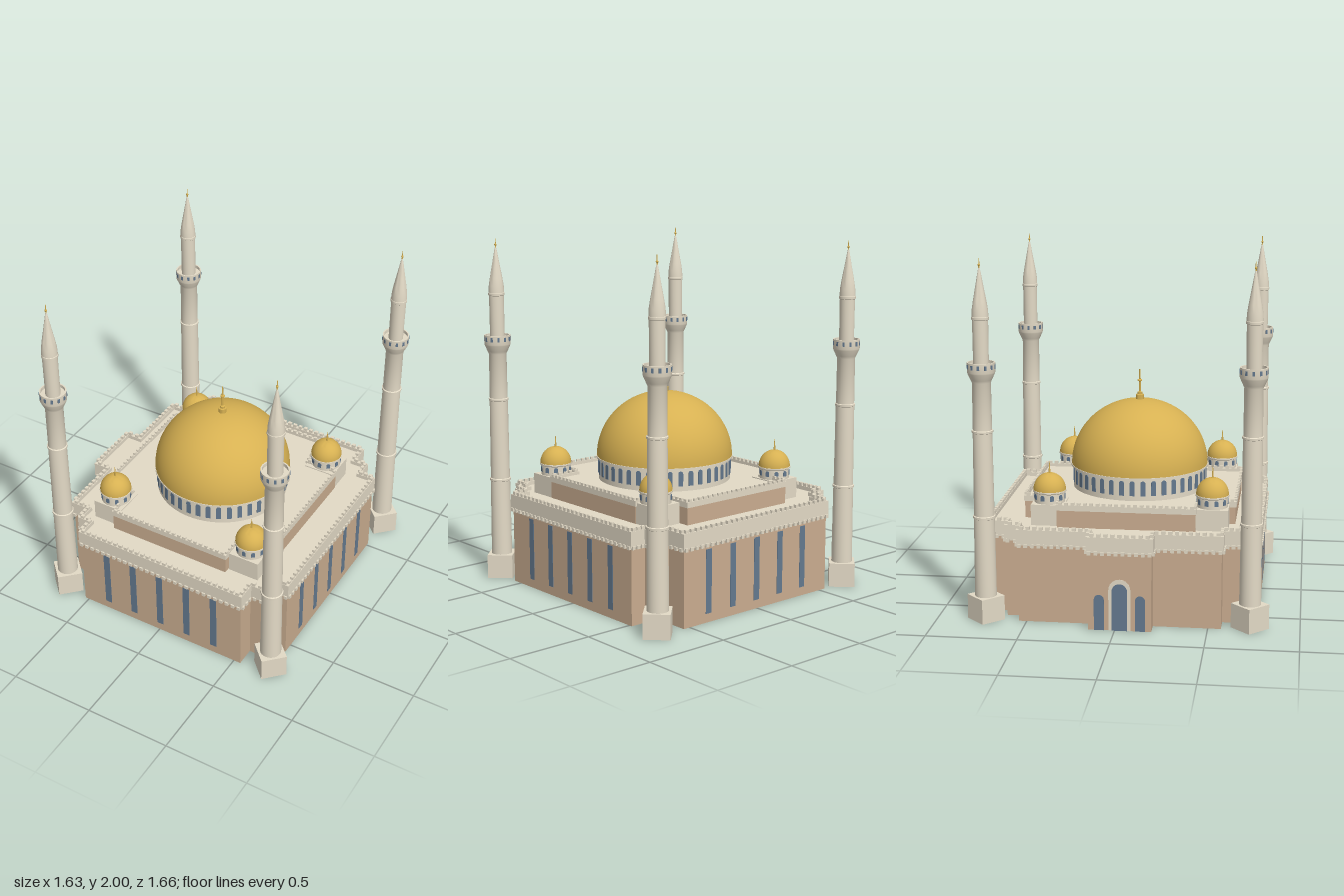
import * as THREE from 'three';
import { mergeGeometries, toCreasedNormals } from 'three/addons/utils/BufferGeometryUtils.js';

const mat = (name, color) => Object.assign(new THREE.MeshStandardMaterial({ color }), { name });
const V = (x, z) => new THREE.Vector2(x, z);

export function createModel() {
  const stone = mat('pale stone', 0xe3dac6);
  const brick = mat('tan wall', 0xcaad90);
  const gold = mat('gilded dome', 0xd7b152);
  const glass = mat('blue glass', 0x64798f);

  const model = new THREE.Group();
  const add = (parent, name, geo, material, x = 0, y = 0, z = 0) => {
    const mesh = new THREE.Mesh(geo, material);
    mesh.name = name;
    mesh.position.set(x, y, z);
    parent.add(mesh);
    return mesh;
  };
  const group = (name, x = 0, y = 0, z = 0) => {
    const g = new THREE.Group();
    g.name = name;
    g.position.set(x, y, z);
    model.add(g);
    return g;
  };

  // Plan helpers: outlines are right-angled loops of (x, z) points
  const edgeNormal = (a, b) => V(b.y - a.y, a.x - b.x).normalize();
  const grow = (pts, d) => pts.map((p, i) => {
    const prev = pts[(i + pts.length - 1) % pts.length];
    const next = pts[(i + 1) % pts.length];
    const n = edgeNormal(prev, p).add(edgeNormal(p, next));
    return p.clone().addScaledVector(n, d);
  });
  const flip = (pts) => pts.map((p) => V(p.x, -p.y));
  const slab = (outer, y0, y1, inner) => {
    const shape = new THREE.Shape(flip(outer));
    // The hole runs the other way round so its walls face inward
    if (inner) shape.holes.push(new THREE.Path(flip(inner).reverse()));
    return new THREE.ExtrudeGeometry(shape, { depth: y1 - y0, bevelEnabled: false })
      .rotateX(-Math.PI / 2).translate(0, y0, 0);
  };
  // Row of small blocks along every edge of an outline
  const blocks = (pts, step, w, h, d, y) => {
    const list = [];
    pts.forEach((a, i) => {
      const b = pts[(i + 1) % pts.length];
      const len = a.distanceTo(b);
      const count = Math.max(1, Math.round(len / step));
      const angle = Math.atan2(-(b.y - a.y), b.x - a.x);
      for (let k = 0; k < count; k++) {
        const p = a.clone().lerp(b, (k + 0.5) / count);
        list.push(new THREE.BoxGeometry(w, h, d).rotateY(angle).translate(p.x, y, p.y));
      }
    });
    return mergeGeometries(list);
  };
  const lathe = (profile, sides = 24) => toCreasedNormals(
    new THREE.LatheGeometry(profile.map(([r, y]) => V(r, y)), sides), 0.6);
  const arch = (w, h, d = 0.006) => {
    const s = new THREE.Shape();
    s.moveTo(-w / 2, 0);
    s.lineTo(w / 2, 0);
    s.lineTo(w / 2, h - w / 2);
    s.absarc(0, h - w / 2, w / 2, 0, Math.PI, false);
    return new THREE.ExtrudeGeometry(s, { depth: d, bevelEnabled: false, curveSegments: 6 });
  };
  const ringOf = (make, count, radius, y) => {
    const list = [];
    for (let i = 0; i < count; i++) {
      list.push(make().translate(0, y, radius).rotateY((i / count) * Math.PI * 2));
    }
    return mergeGeometries(list);
  };

  // Main hall: hollow walls with stepped corners and a porch on the -x side
  const hall = [
    V(-0.544, -0.737), V(0.542, -0.737), V(0.542, -0.616), V(0.628, -0.616), V(0.628, -0.52), V(0.722, -0.52),
    V(0.722, 0.562), V(0.625, 0.562), V(0.625, 0.66), V(0.542, 0.66), V(0.542, 0.77), V(-0.524, 0.77),
    V(-0.524, 0.665), V(-0.6, 0.665), V(-0.6, 0.572), V(-0.708, 0.572), V(-0.708, 0.2), V(-0.799, 0.2),
    V(-0.799, -0.145), V(-0.708, -0.145), V(-0.708, -0.543), V(-0.622, -0.543), V(-0.622, -0.624), V(-0.544, -0.624),
  ];
  const base = group('mainHall');
  add(base, 'hallWalls', slab(hall, 0, 0.495, grow(hall, -0.008)), brick);
  add(base, 'hallCeiling', slab(grow(hall, -0.004), 0.478, 0.49), brick);
  add(base, 'hallRoof', slab(grow(hall, -0.004), 0.49, 0.502), stone);
  add(base, 'hallCornice', slab(grow(hall, 0.01), 0.437, 0.5, grow(hall, -0.004)), stone);
  add(base, 'hallParapet', slab(grow(hall, 0.01), 0.5, 0.525, grow(hall, -0.012)), stone);
  add(base, 'hallMerlons', blocks(grow(hall, -0.001), 0.037, 0.022, 0.02, 0.018, 0.533), stone);
  add(base, 'hallDentils', blocks(grow(hall, 0.011), 0.037, 0.02, 0.02, 0.014, 0.436), stone);

  // Tall windows on the front, back and right walls
  for (let i = -2; i <= 2; i++) {
    const pane = () => new THREE.BoxGeometry(0.041, 0.36, 0.006);
    add(base, 'frontWindow', pane(), glass, 0.006 + i * 0.179, 0.23, 0.769);
    add(base, 'backWindow', pane(), glass, 0.006 + i * 0.179, 0.23, -0.736);
    add(base, 'sideWindow', pane().rotateY(Math.PI / 2), glass, 0.721, 0.23, 0.022 + i * 0.181);
  }

  // Porch doorway with three arches
  const porch = group('porchDoorway', -0.799, 0, 0.027);
  porch.rotation.y = -Math.PI / 2;
  add(porch, 'doorSurround', arch(0.12, 0.29, 0.002), stone);
  add(porch, 'middleArch', arch(0.085, 0.265, 0.004), glass);
  for (const s of [-1, 1]) add(porch, 'sideArch', arch(0.055, 0.2, 0.003), glass, s * 0.112, 0, 0);

  // Upper tier: cross-shaped plan
  const tier = [
    V(-0.39, -0.56), V(0.36, -0.56), V(0.36, -0.35), V(0.552, -0.35), V(0.552, 0.417), V(0.36, 0.417),
    V(0.36, 0.627), V(-0.39, 0.627), V(-0.39, 0.417), V(-0.57, 0.417), V(-0.57, -0.35), V(-0.39, -0.35),
  ];
  const upper = group('upperTier');
  add(upper, 'tierWalls', slab(tier, 0.495, 0.61), brick);
  add(upper, 'tierRoof', slab(grow(tier, -0.003), 0.605, 0.614), stone);
  add(upper, 'tierParapet', slab(grow(tier, 0.006), 0.6, 0.632, grow(tier, -0.008)), stone);
  add(upper, 'tierMerlons', blocks(grow(tier, -0.001), 0.035, 0.02, 0.016, 0.013, 0.638), stone);

  // Central dome on a drum ringed with arched windows
  const dome = group('centralDome', 0.003, 0, 0.047);
  add(dome, 'drum', lathe([[0.385, 0.605], [0.385, 0.735], [0.398, 0.738], [0.398, 0.748], [0.36, 0.75]], 80), stone);
  add(dome, 'drumWindows', ringOf(() => arch(0.028, 0.085), 40, 0.382, 0.643), glass);
  const quarter = (r, h, y, n = 20) => Array.from({ length: n + 1 }, (_, i) => {
    const a = (i / n) * Math.PI / 2;
    return [r * Math.cos(a), y + h * Math.sin(a)];
  });
  add(dome, 'domeShell', lathe(quarter(0.395, 0.375, 0.747, 24), 64), gold);
  add(dome, 'finialBase', lathe([[0.023, 1.11], [0.023, 1.148], [0.014, 1.15], [0.014, 1.162], [0, 1.168]], 16), gold);
  add(dome, 'finialRod', new THREE.CylinderGeometry(0.004, 0.006, 0.135, 8), gold, 0, 1.2275, 0);
  add(dome, 'finialKnob', lathe([[0, 1.222], [0.013, 1.228], [0.013, 1.234], [0, 1.24]], 12), gold);

  // Four small corner domes on square blocks
  for (const x of [-0.45, 0.456]) {
    for (const z of [-0.408, 0.502]) {
      const g = group('cornerDome', x, 0, z);
      add(g, 'cornerBlock', new THREE.BoxGeometry(0.184, 0.125, 0.184), stone, 0, 0.5575, 0);
      add(g, 'cornerDrum', lathe([[0.086, 0.615], [0.086, 0.675], [0.094, 0.68], [0.094, 0.688], [0.08, 0.69]], 32), stone);
      add(g, 'cornerWindows', ringOf(() => arch(0.022, 0.032), 10, 0.082, 0.638), glass);
      add(g, 'cornerShell', lathe(quarter(0.091, 0.096, 0.687, 12), 32), gold);
      add(g, 'cornerFinial', new THREE.CylinderGeometry(0.0015, 0.006, 0.065, 6), gold, 0, 0.812, 0);
    }
  }

  // Minarets: hollow diamond bases, tapering shafts, balconies and pointed caps
  const diamond = [V(0, -0.104), V(0.104, 0), V(0, 0.104), V(-0.104, 0)];
  const plinth = slab(diamond, 0, 0.136, grow(diamond, -0.006));
  const plinthTop = slab(diamond, 0.132, 0.139);
  const shaft = lathe([
    [0.06, 0.135], [0.057, 0.58], [0.062, 0.583], [0.062, 0.595], [0.056, 0.598],
    [0.053, 1.058], [0.058, 1.061], [0.058, 1.072], [0.052, 1.075], [0.051, 1.335],
    [0.058, 1.35], [0.074, 1.385], [0.076, 1.392], [0.076, 1.445], [0.068, 1.445], [0.068, 1.425], [0.042, 1.425],
    [0.043, 1.672], [0.047, 1.675], [0.047, 1.688], [0.044, 1.692],
  ]);
  const cap = lathe([
    [0.045, 1.69], [0.043, 1.73], [0.036, 1.775], [0.025, 1.835], [0.015, 1.89], [0.007, 1.935], [0, 1.965],
  ]);
  const spots = [[-0.674, 0.727], [0.706, 0.714], [0.711, -0.721], [-0.694, -0.729]];
  for (const [x, z] of spots) {
    const g = group('minaret', x, 0, z);
    add(g, 'minaretBase', plinth, stone);
    add(g, 'minaretBaseTop', plinthTop, stone);
    add(g, 'minaretShaft', shaft, stone);
    add(g, 'balconyWindows', ringOf(() => new THREE.BoxGeometry(0.013, 0.024, 0.006), 12, 0.0745, 1.422), glass);
    add(g, 'minaretCap', cap, stone);
    add(g, 'minaretFinial', new THREE.CylinderGeometry(0.002, 0.004, 0.06, 8), gold, 0, 1.97, 0);
    add(g, 'finialBead', new THREE.SphereGeometry(0.007, 10, 6), gold, 0, 1.965, 0);
  }
  return model;
}
